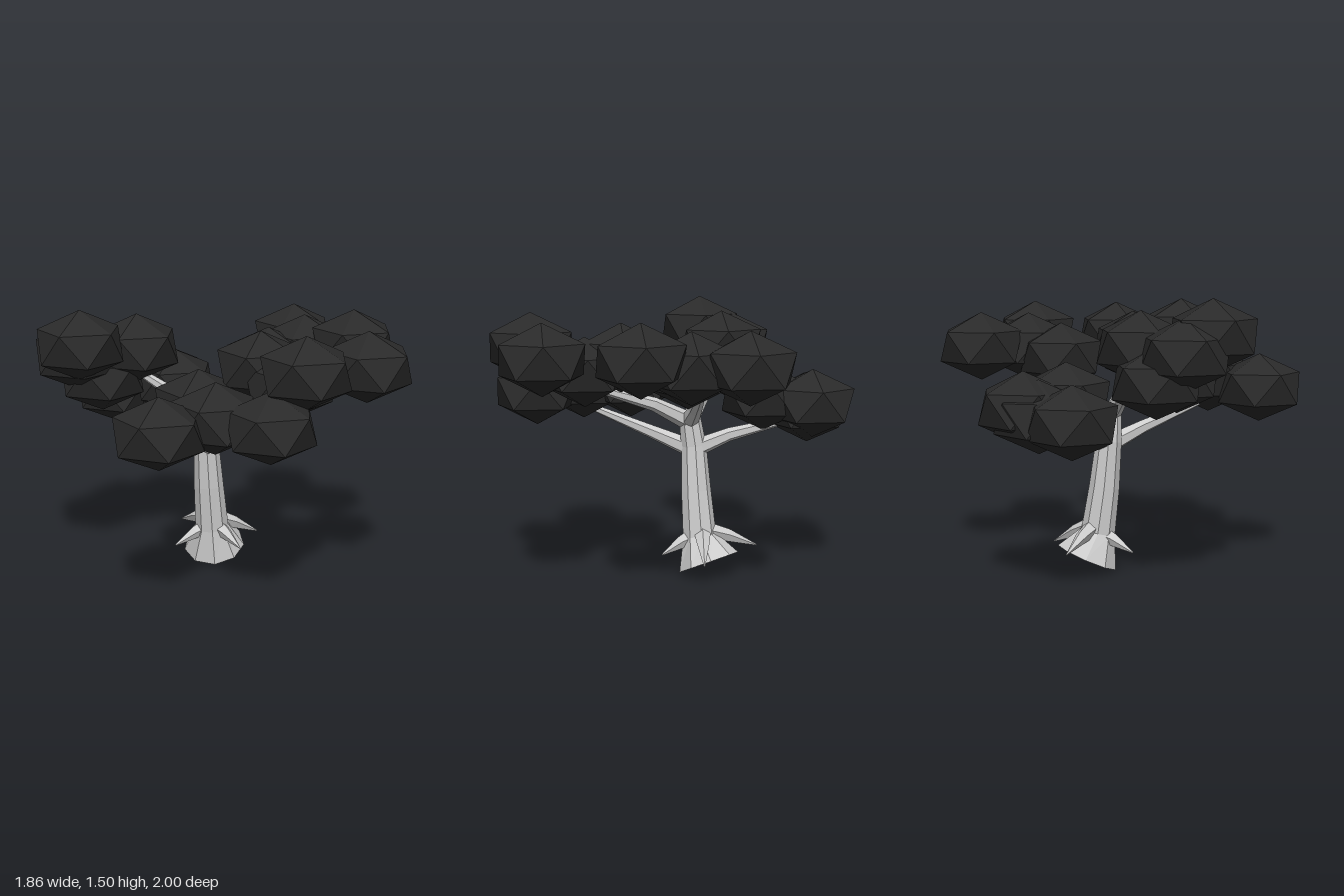
import * as THREE from 'three';

const bark = new THREE.MeshStandardMaterial({ color: 0xcccccc, flatShading: true, side: THREE.DoubleSide });
bark.name = 'pale bark';
const leaf = new THREE.MeshStandardMaterial({ color: 0x2a2a2a, flatShading: true });
leaf.name = 'dark foliage';

// Faceted limb: rings of the given radii swept through the given points, open at the start, capped at the end
function limb(name, pts, radii, sides) {
  const p = pts.map((a) => new THREE.Vector3(...a));
  const n = p.length;
  const chord = p[n - 1].clone().sub(p[0]).normalize();
  const ref = Math.abs(chord.y) > 0.8 ? new THREE.Vector3(1, 0, 0) : new THREE.Vector3(0, 1, 0);
  const pos = [], idx = [];
  p.forEach((c, i) => {
    const t = p[Math.min(i + 1, n - 1)].clone().sub(p[Math.max(i - 1, 0)]).normalize();
    const u = ref.clone().addScaledVector(t, -ref.dot(t)).normalize();
    const v = t.clone().cross(u);
    for (let j = 0; j < sides; j++) {
      const a = (j / sides) * Math.PI * 2;
      const q = c.clone().addScaledVector(u, radii[i] * Math.cos(a)).addScaledVector(v, radii[i] * Math.sin(a));
      pos.push(q.x, q.y, q.z);
    }
  });
  pos.push(...pts[n - 1]);
  const end = n * sides, last = end - sides;
  for (let j = 0; j < sides; j++) {
    const k = (j + 1) % sides;
    for (let i = 0; i < n - 1; i++) {
      const a = i * sides, b = a + sides;
      idx.push(a + j, a + k, b + k, a + j, b + k, b + j);
    }
    idx.push(end, last + j, last + k);
  }
  const g = new THREE.BufferGeometry();
  g.setAttribute('position', new THREE.Float32BufferAttribute(pos, 3));
  g.setIndex(idx);
  g.computeVertexNormals();
  const m = new THREE.Mesh(g, bark);
  m.name = name;
  return m;
}

export function createModel() {
  const tree = new THREE.Group();
  tree.name = 'tree';

  // Leaning hollow trunk with a flared, tilted foot
  tree.add(limb('trunk',
    [[0.075, 0.058, -0.175], [0.03, 0.2, -0.13], [0.0, 0.45, -0.115], [-0.022, 0.7, -0.105], [-0.02, 0.87, -0.08]],
    [0.174, 0.095, 0.084, 0.071, 0.06], 9));

  // Four pointed roots crossing around the foot: top and tip of each
  const roots = new THREE.Group();
  roots.name = 'roots';
  [
    [[0.07, 0.225, -0.14], [0.33, 0.105, -0.11]],
    [[0.04, 0.2, -0.1], [0.08, 0.11, 0.085]],
    [[0.01, 0.19, -0.14], [-0.2, 0.11, -0.15]],
    [[0.04, 0.225, -0.18], [0.03, 0.135, -0.455]],
  ].forEach(([top, tip]) => {
    const mid = top.map((c, i) => c + (tip[i] - c) * 0.42 + (i === 1 ? 0.008 : 0));
    roots.add(limb('root', [top, mid, tip], [0.05, 0.036, 0.004], 5));
  });
  tree.add(roots);

  // Branches reaching into each foliage cluster
  const branches = new THREE.Group();
  branches.name = 'branches';
  [
    [[-0.02, 0.68, -0.1], [-0.12, 0.76, 0.1], [-0.31, 0.88, 0.42]],
    [[-0.02, 0.83, -0.09], [0.02, 0.94, 0.12], [0.04, 1.04, 0.45]],
    [[-0.03, 0.83, -0.08], [0.13, 0.92, -0.09], [0.47, 1.05, -0.07]],
    [[-0.01, 0.83, -0.07], [-0.14, 0.95, -0.17], [-0.35, 1.12, -0.33]],
    [[-0.01, 0.68, -0.1], [0.0, 0.76, -0.3], [0.0, 0.84, -0.65]],
  ].forEach((pts) => branches.add(limb('branch', pts, [0.053, 0.038, 0.02], 6)));
  tree.add(branches);

  // Foliage clumps: flattened icosahedra with a corner pointing up, all turned the same way
  const clump = new THREE.IcosahedronGeometry(1, 0);
  clump.rotateZ(Math.atan(2 / (1 + Math.sqrt(5))));
  clump.rotateY(Math.PI);
  clump.scale(0.253, 0.187, 0.253);
  const foliage = new THREE.Group();
  foliage.name = 'foliage';
  [
    // back cluster
    [-0.215, 0.89, -0.785], [0.098, 0.94, -0.745], [0.008, 0.97, -0.485], [0.01, 0.9, -0.737],
    // back right cluster
    [-0.64, 1.21, -0.42], [-0.49, 1.07, -0.43], [-0.71, 1.3, -0.25], [-0.335, 1.235, -0.315],
    // left cluster
    [0.695, 1.2, -0.275], [0.335, 1.14, -0.02], [0.567, 1.19, 0], [0.7, 1.245, 0.27],
    // front right cluster
    [-0.27, 1.02, 0.215], [-0.655, 0.975, 0.46], [-0.335, 1.01, 0.476], [-0.185, 1.0, 0.745],
    // front cluster
    [0.057, 1.2, 0.303], [0.098, 1.13, 0.5], [-0.005, 1.257, 0.78], [0.42, 1.23, 0.738],
  ].forEach((at) => {
    const m = new THREE.Mesh(clump, leaf);
    m.name = 'foliageClump';
    m.position.set(...at);
    foliage.add(m);
  });
  tree.add(foliage);
  return tree;
}
